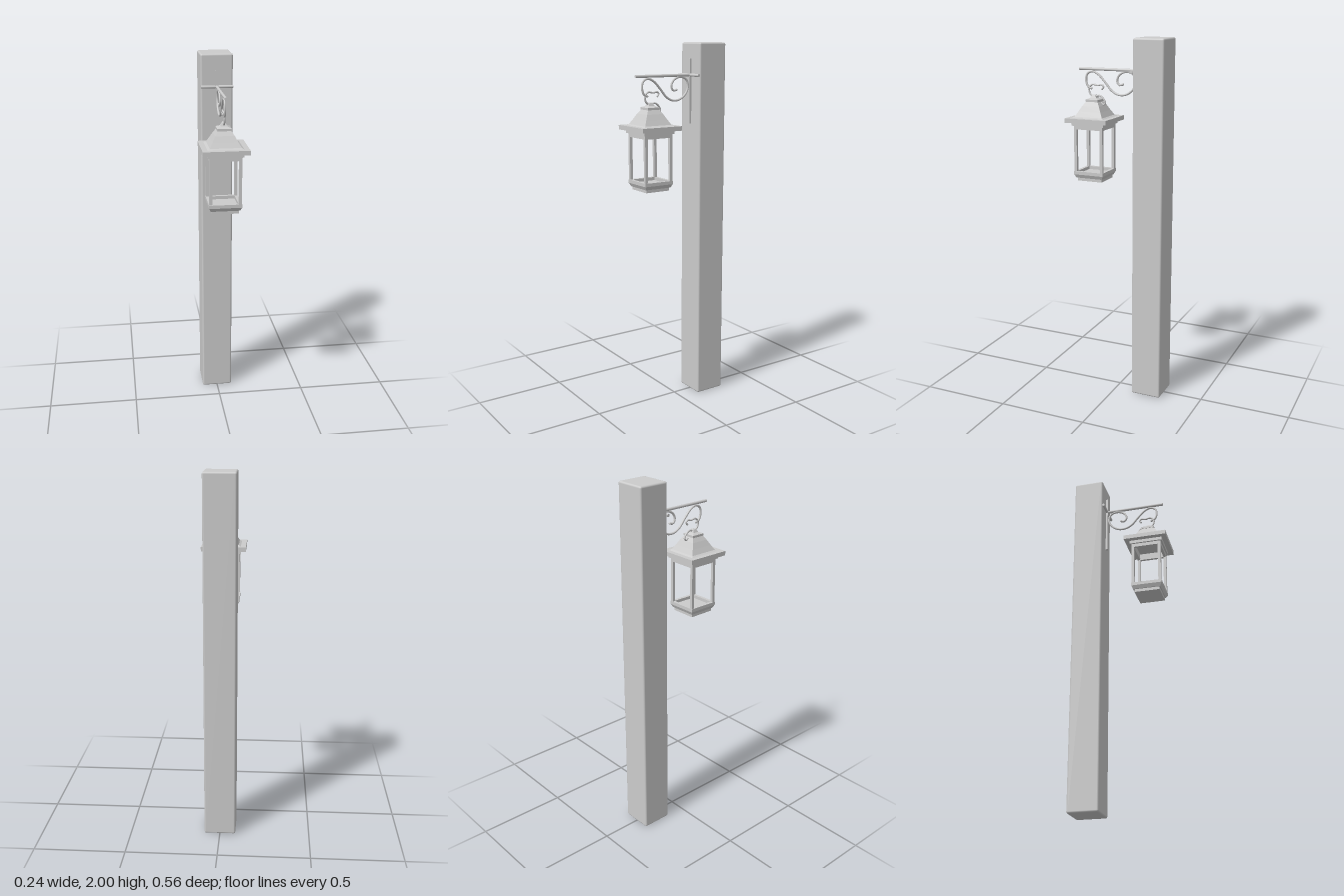
import * as THREE from 'three';
import { RoundedBoxGeometry } from 'three/addons/geometries/RoundedBoxGeometry.js';

const smooth = new THREE.MeshStandardMaterial({ color: 0xcccccc });
const flat = new THREE.MeshStandardMaterial({ color: 0xcccccc, flatShading: true });

function add(parent, name, geometry, material, x = 0, y = 0, z = 0) {
  const mesh = new THREE.Mesh(geometry, material);
  mesh.name = name;
  mesh.position.set(x, y, z);
  parent.add(mesh);
  return mesh;
}

// Square solid from [halfWidth, y] pairs, listed from the bottom up
function squareLathe(profile) {
  const points = profile.map(([h, y]) => new THREE.Vector2(h * Math.SQRT2, y));
  return new THREE.LatheGeometry(points, 4, Math.PI / 4);
}

// Square ring: outer and inner walls between two heights
function squareRing(outer, inner, y0, y1) {
  return squareLathe([[inner, y0], [outer, y0], [outer, y1], [inner, y1], [inner, y0]]);
}

// Round bar through [z, y] points in the x = 0 plane, with ball ends
function wroughtBar(parent, name, points, radius) {
  const path = points.map(([z, y]) => new THREE.Vector3(0, y, z));
  const curve = new THREE.CatmullRomCurve3(path, false, 'centripetal');
  add(parent, name, new THREE.TubeGeometry(curve, 80, radius, 10), smooth);
  for (const p of [path[0], path[path.length - 1]]) {
    add(parent, name + 'End', new THREE.SphereGeometry(radius * 1.15, 10, 8), smooth, p.x, p.y, p.z);
  }
}

function createBracket() {
  const bracket = new THREE.Group();
  bracket.name = 'bracket';
  // Cross-shaped mount on the post face
  add(bracket, 'mountUpright', new THREE.BoxGeometry(0.016, 0.35, 0.012), flat, 0, 1.741, -0.102);
  add(bracket, 'mountCrossbar', new THREE.CylinderGeometry(0.008, 0.008, 0.174, 12), smooth, 0, 1.828, -0.101)
    .rotation.z = Math.PI / 2;
  // Straight arm
  add(bracket, 'arm', new THREE.CylinderGeometry(0.008, 0.008, 0.345, 12), smooth, 0, 1.828, 0.07)
    .rotation.x = Math.PI / 2;
  // S-shaped scroll under the arm
  wroughtBar(bracket, 'scroll', [
    [0.172, 1.724], [0.19, 1.732], [0.203, 1.765], [0.195, 1.802], [0.165, 1.815], [0.13, 1.8],
    [0.09, 1.76], [0.05, 1.715], [0.01, 1.696], [-0.035, 1.7], [-0.075, 1.73], [-0.09, 1.77],
    [-0.075, 1.808], [-0.035, 1.819], [0.005, 1.802], [0.019, 1.77], [0.005, 1.748], [-0.014, 1.752],
  ], 0.006);
  // Hook carrying the lantern
  wroughtBar(bracket, 'hook', [
    [0.108, 1.722], [0.1, 1.735], [0.11, 1.745], [0.135, 1.741], [0.165, 1.745], [0.185, 1.725],
    [0.18, 1.695], [0.155, 1.68], [0.125, 1.687], [0.1, 1.67], [0.09, 1.648], [0.1, 1.638], [0.11, 1.646],
  ], 0.005);
  return bracket;
}

function createLantern() {
  const lantern = new THREE.Group();
  lantern.name = 'lantern';
  // Broad brim, flared roof and cap
  add(lantern, 'roofBrim', new THREE.BoxGeometry(0.244, 0.024, 0.244), flat, 0, 1.558, 0);
  add(lantern, 'roof', squareLathe([
    [0.094, 1.57], [0.082, 1.576], [0.066, 1.603], [0.05, 1.632], [0.034, 1.655], [0, 1.655],
  ]), flat);
  add(lantern, 'roofCap', squareLathe([
    [0, 1.654], [0.037, 1.654], [0.037, 1.666], [0.018, 1.674], [0.01, 1.69], [0, 1.692],
  ]), flat);
  // Open upper frame
  add(lantern, 'cornice', squareRing(0.094, 0.07, 1.528, 1.547), flat);
  add(lantern, 'topFrame', squareRing(0.085, 0.07, 1.508, 1.529), flat);
  // Corner posts
  for (const x of [-1, 1]) {
    for (const z of [-1, 1]) {
      add(lantern, 'cornerPost', new THREE.BoxGeometry(0.016, 0.25, 0.016), flat, x * 0.077, 1.393, z * 0.077);
    }
  }
  // Lower frame and stepped base
  add(lantern, 'bottomFrame', squareRing(0.087, 0.07, 1.258, 1.276), flat);
  add(lantern, 'base', squareLathe([
    [0, 1.222], [0.072, 1.222], [0.072, 1.239], [0.077, 1.239], [0.087, 1.259], [0, 1.259],
  ]), flat);
  lantern.position.z = 0.154;
  return lantern;
}

export function createModel() {
  const model = new THREE.Group();
  model.name = 'lanternPost';
  add(model, 'post', new RoundedBoxGeometry(0.174, 2, 0.172, 2, 0.01), smooth, 0, 1, -0.193);
  model.add(createBracket(), createLantern());
  return model;
}
